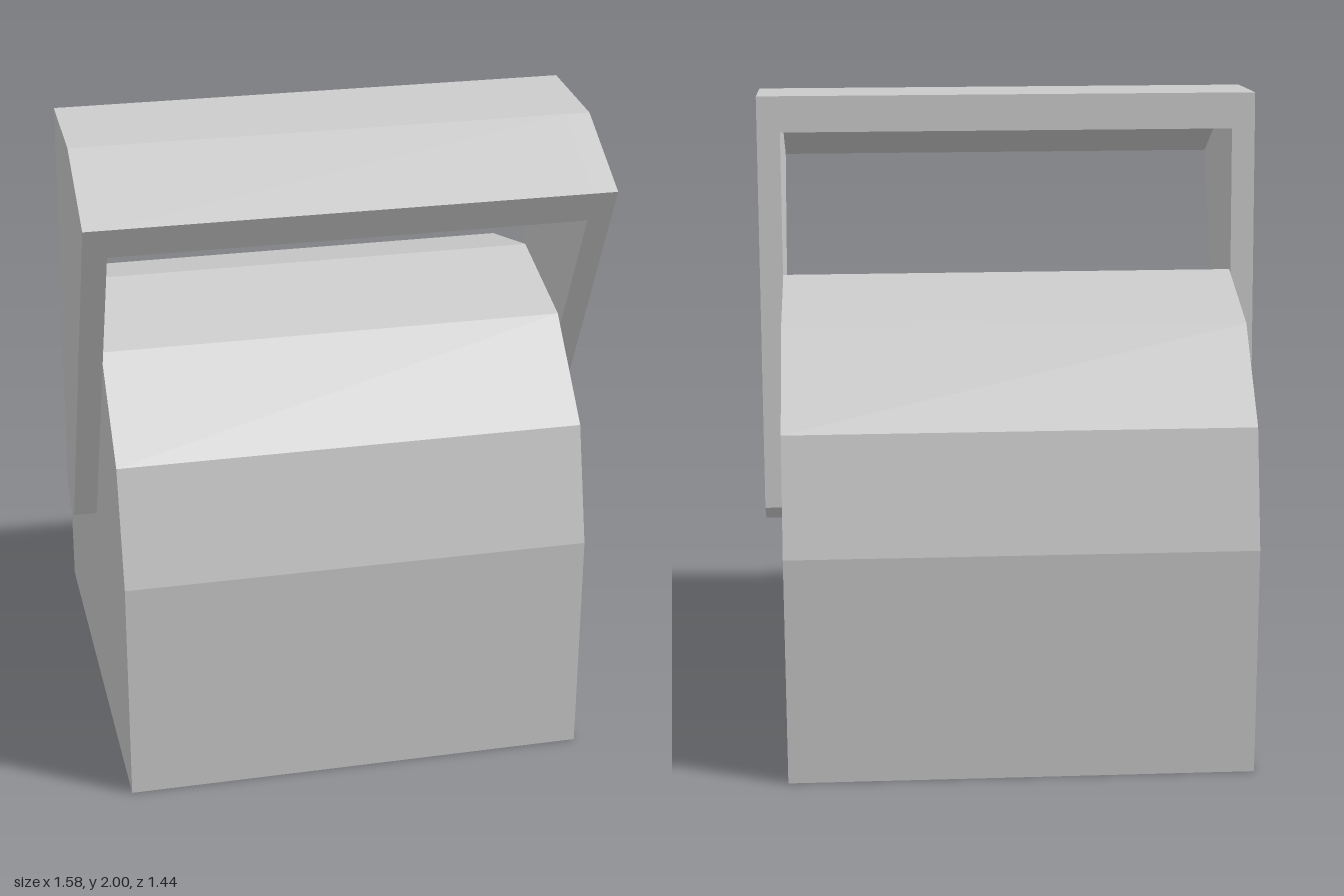
import * as THREE from 'three';

const material = new THREE.MeshStandardMaterial({ color: 0xcccccc, flatShading: true });

// Extrudes a side profile of [z, y] points along x, centred on xCentre
function slab(name, profile, width, xCentre = 0) {
  const shape = new THREE.Shape(profile.map(([z, y]) => new THREE.Vector2(z, y)));
  const geometry = new THREE.ExtrudeGeometry(shape, { depth: width, bevelEnabled: false });
  geometry.translate(0, 0, -width / 2);
  geometry.rotateY(-Math.PI / 2);
  const mesh = new THREE.Mesh(geometry, material);
  mesh.name = name;
  mesh.position.x = xCentre;
  return mesh;
}

export function createModel() {
  const model = new THREE.Group();
  model.name = 'boxWithHandle';

  const radius = 0.718;
  const halfWidth = 0.716;
  const armThickness = 0.073;

  // Body: square block under a six-sided half-round top
  const bodyProfile = [[-radius, 0], [radius, 0]];
  for (let i = 0; i <= 6; i++) {
    const a = (i / 6) * Math.PI;
    bodyProfile.push([radius * Math.cos(a), 0.715 + radius * Math.sin(a)]);
  }
  model.add(slab('body', bodyProfile, halfWidth * 2));

  // Handle: two tapering side arms joined by a bent top plate
  const handle = new THREE.Group();
  handle.name = 'handle';
  const top = [[0.64, 1.832], [0.35, 1.983], [0.018, 2]];
  const foot = [[-0.088, 0.685], [-0.025, 0.632], [0.063, 0.643]];
  for (const side of [-1, 1]) {
    const x = side * (halfWidth + armThickness / 2);
    handle.add(slab(side > 0 ? 'leftArm' : 'rightArm', [...top, ...foot], armThickness, x));
  }
  const underside = [[0.009, 1.887], [0.32, 1.872], [0.59, 1.73]];
  handle.add(slab('topPlate', [...top, ...underside], halfWidth * 2));
  model.add(handle);

  return model;
}
